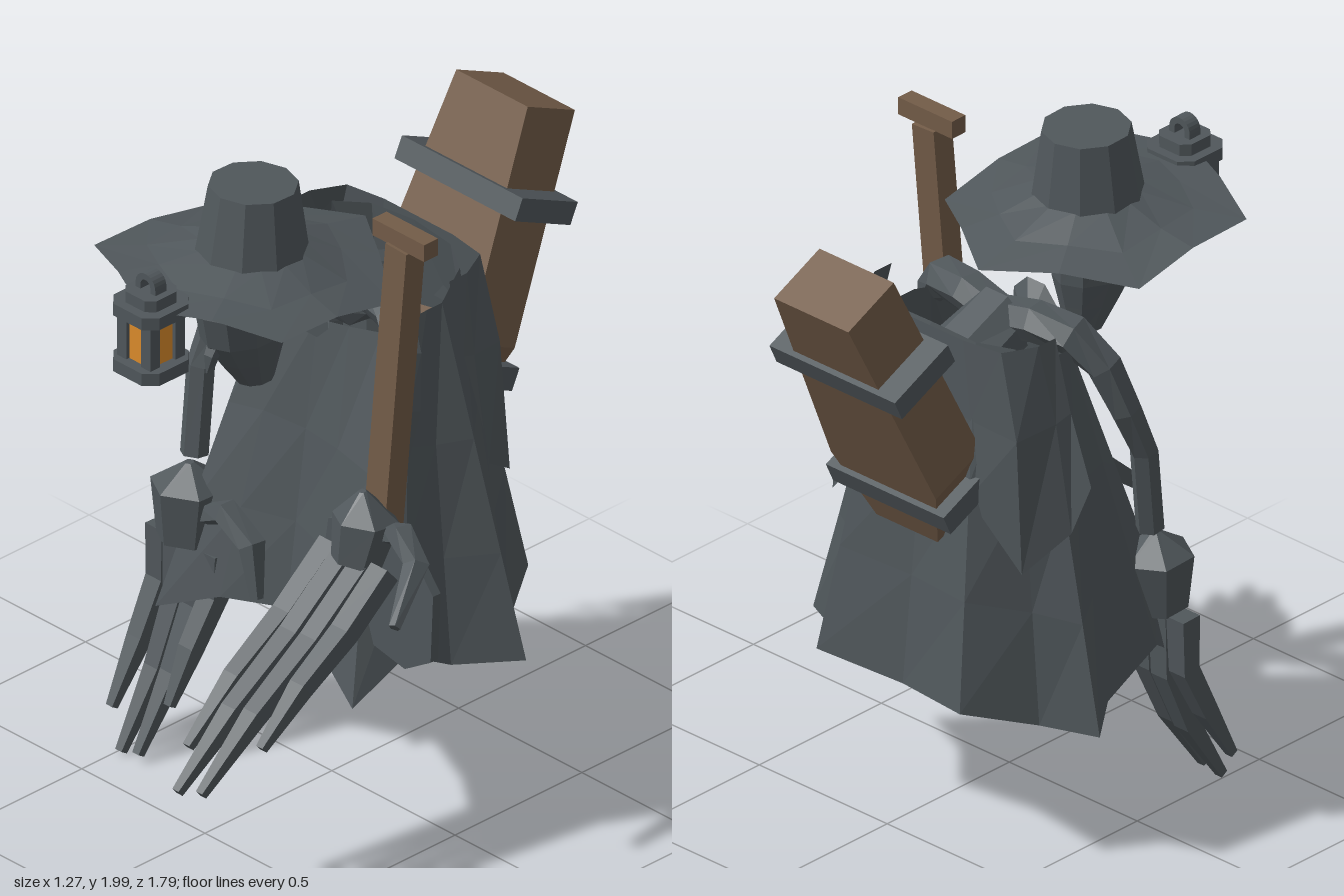
import * as THREE from 'three';

const V = (x, y, z) => new THREE.Vector3(x, y, z);
const CX = -0.08; // body centre line

// Faceted normals
function flat(geo) {
  const g = geo.index ? geo.toNonIndexed() : geo;
  g.computeVertexNormals();
  return g;
}

// Skin through rings of equal length; caps fan to each end ring's centre
function loft(rings, { closed = true, capped = false } = {}) {
  const p = [], n = rings[0].length, last = rings.length - 1;
  const tri = (...vs) => vs.forEach(v => p.push(v.x, v.y, v.z));
  for (let i = 0; i < last; i++) {
    for (let j = 0; j < (closed ? n : n - 1); j++) {
      const k = (j + 1) % n, a = rings[i][j], b = rings[i][k], c = rings[i + 1][k], d = rings[i + 1][j];
      tri(a, b, c); tri(a, c, d);
    }
  }
  if (capped) {
    for (const [r, end] of [[rings[0], false], [rings[last], true]]) {
      const m = r.reduce((s, v) => s.add(v), V(0, 0, 0)).divideScalar(n);
      for (let j = 0; j < n; j++) {
        const a = r[j], b = r[(j + 1) % n];
        end ? tri(m, a, b) : tri(m, b, a);
      }
    }
  }
  const g = new THREE.BufferGeometry();
  g.setAttribute('position', new THREE.Float32BufferAttribute(p, 3));
  return g;
}

// Tapered limb along [x, y, z, radius] points
function limb(pts, sides = 6) {
  const c = pts.map(q => V(q[0], q[1], q[2]));
  const rings = c.map((q, i) => {
    const t = c[Math.min(i + 1, c.length - 1)].clone().sub(c[Math.max(i - 1, 0)]).normalize();
    const u = V(0, 0, 1).cross(t);
    if (u.length() < 0.05) u.set(1, 0, 0);
    u.normalize();
    const v = t.clone().cross(u);
    return Array.from({ length: sides }, (_, j) => {
      const a = (j + 0.5) / sides * Math.PI * 2;
      return q.clone().addScaledVector(u, Math.cos(a) * pts[i][3]).addScaledVector(v, Math.sin(a) * pts[i][3]);
    });
  });
  return loft(rings, { capped: true });
}

// Mirror a half outline [x, z, y] (front to back) into a full ring
function mirrorRing(half) {
  const right = half.map(([x, z, y]) => V(CX + x, y, z));
  const left = half.slice(1, -1).reverse().map(([x, z, y]) => V(CX - x, y, z));
  return right.concat(left);
}

export function createModel() {
  const root = new THREE.Group();
  const mat = (name, color, extra = {}) => new THREE.MeshStandardMaterial({ name, color, ...extra });
  const grey = mat('charcoal', 0x50575b, { side: THREE.DoubleSide });
  const brown = mat('wood', 0x735c48);
  const amber = mat('amber glow', 0xdc8c2c);
  const add = (name, geo, m, parent = root, pos = [0, 0, 0]) => {
    const mesh = new THREE.Mesh(flat(geo), m);
    mesh.name = name;
    mesh.position.set(...pos);
    parent.add(mesh);
    return mesh;
  };
  const box = (w, h, d) => new THREE.BoxGeometry(w, h, d);
  const polygon = pts => new THREE.Shape(pts.map(p => new THREE.Vector2(...p)));
  const slab = (shape, depth) => new THREE.ExtrudeGeometry(shape, { depth, bevelEnabled: false, curveSegments: 6 });
  const group = (name, x = 0, y = 0, z = 0) => {
    const g = new THREE.Group();
    g.name = name;
    g.position.set(x, y, z);
    root.add(g);
    return g;
  };

  // Ragged open cloak
  const hem = [[0, .1, .55], [.2, .17, .53], [.4, .23, .44], [.44, .06, .56], [.43, -.13, .45],
    [.56, -.3, .45], [.4, -.38, .46], [.28, -.58, .53], [0, -.52, .5]];
  const collar = [[0, -.02, 1.45], [.12, -.03, 1.47], [.22, -.06, 1.48], [.27, -.12, 1.52], [.28, -.18, 1.53],
    [.28, -.24, 1.53], [.26, -.33, 1.6], [.16, -.39, 1.61], [0, -.4, 1.62]];
  const between = t => hem.map((h, i) => h.map((v, k) => v + (collar[i][k] - v) * t));
  add('cloak', loft([0, 0.3, 0.62, 1].map(t => mirrorRing(between(t)))), grey);

  // Short cape over the back
  const sheet = half => [...half.map(([x, y, z]) => V(CX + x, y, z)),
    ...half.slice(0, -1).reverse().map(([x, y, z]) => V(CX - x, y, z))];
  add('cape', loft([
    sheet([[.46, 1.19, -.23], [.43, 1.05, -.28], [.37, .95, -.42], [.2, 1.15, -.46], [0, 1.08, -.46]]),
    sheet([[.38, 1.4, -.23], [.37, 1.38, -.28], [.34, 1.36, -.41], [.18, 1.38, -.43], [0, 1.38, -.43]]),
    sheet([[.32, 1.62, -.23], [.32, 1.62, -.3], [.27, 1.62, -.4], [.14, 1.62, -.42], [0, 1.62, -.42]]),
  ], { closed: false }), grey);

  // Hunched torso and dangling legs
  add('torso', limb([[CX, .85, -.24, .09], [CX, 1.2, -.28, .12], [CX, 1.46, -.27, .125],
    [CX, 1.51, -.12, .11], [CX, 1.5, .02, .09]], 8), grey);
  for (const s of [-1, 1]) {
    const x = CX + s * 0.115;
    add('leg', limb([[x, 1, -.22, .05], [x, .75, -.29, .045], [x, .57, -.27, .04],
      [x, .49, -.18, .045], [x, .5, -.09, .035]]), grey);
  }

  // Head with drooping muzzle and a small tusk
  add('head', loft([[1.36, .225, .05, .06], [1.45, .25, .08, .105], [1.53, .268, .105, .142],
    [1.63, .277, .11, .153], [1.7, .27, .1, .13], [1.76, .26, .08, .1]].map(([y, z, rx, rz]) =>
    Array.from({ length: 10 }, (_, j) => {
      const a = j / 10 * Math.PI * 2;
      return V(CX + Math.sin(a) * rx, y, z + Math.cos(a) * rz);
    })), { capped: true }), grey);
  add('tusk', limb([[CX, 1.55, .37, .03], [CX, 1.5, .4, .022], [CX, 1.45, .415, .004]], 5), grey);

  // Wide hat: hexagonal drooping brim and tapered crown
  const HZ = 0.24;
  const corners = [[0, .43, 1.76], [.38, .25, 1.74], [.38, -.19, 1.69], [0, -.45, 1.71]];
  const edge = [];
  corners.forEach((c, i) => {
    edge.push(c);
    const d = corners[i + 1];
    if (d) edge.push(c.map((v, k) => (v + d[k]) / 2 + (k === 2 ? 0.02 : 0)));
  });
  const rim = mirrorRing(edge.map(([x, z, y]) => [x, z + HZ, y]));
  const brimRing = (t, y) => rim.map(p => {
    const a = Math.atan2(p.x - CX, p.z - HZ);
    return V(CX + Math.sin(a) * 0.15, y, HZ + Math.cos(a) * 0.15).lerp(p, t);
  });
  add('hat brim', loft([rim, brimRing(0.5, 1.78), brimRing(0, 1.8)]), grey);
  const crown = add('hat crown', new THREE.CylinderGeometry(.13, .165, .22, 10), grey, root, [CX, 1.888, .235]);
  crown.rotation.x = -0.03;

  // Arms
  const armTop = [[0, 1.53, -.12, .06], [.13, 1.555, -.11, .062], [.25, 1.545, -.085, .062], [.33, 1.46, -.04, .055],
    [.375, 1.32, .0, .048], [.39, 1.17, .06, .042]];
  const armPath = s => armTop.map(([x, y, z, r]) => [CX + s * x, y, z, r]);
  add('left arm', limb(armPath(1)), grey);
  add('right arm', limb([...armPath(-1), [-.455, .9, .1, .042]]), grey);

  // Right hand, hanging down
  const rightHand = group('right hand');
  add('palm', limb([[-.455, .88, .12, .015], [-.455, .81, .12, .115], [-.455, .64, .13, .09]]), grey, rightHand);
  [[-.555, -.555, .12], [-.485, -.485, .015], [-.415, -.42, .03], [-.34, -.345, .2]].forEach(([x0, x1, tip]) => {
    const f = t => .64 + (tip - .64) * t;
    add('finger', limb([[x0, .64, .13, .048], [x0, f(.33), .135, .044], [x1, f(.65), .22, .038],
      [x1, tip, .36 - (tip - .015) * .3, .018]], 4), grey, rightHand);
  });
  add('thumb', limb([[-.37, .75, .13, .038], [-.29, .79, .135, .042], [-.18, .73, .14, .042], [-.14, .58, .16, .02]], 5), grey, rightHand);

  // Left hand, reaching forward
  const leftHand = group('left hand');
  add('palm', limb([[.32, 1.14, .19, .012], [.325, 1.05, .18, .1], [.325, .92, .22, .075]]), grey, leftHand);
  [[.22, .22, .5, .78], [.285, .29, .425, .89], [.36, .365, .44, .87], [.43, .435, .55, .7]].forEach(([x0, x1, y, z]) => {
    const m = (t, lift) => [x0 + (x1 - x0) * t, .93 + (y - .93) * t + lift, .21 + (z - .21) * t];
    add('finger', limb([[...m(0, 0), .046], [...m(.33, -.01), .044], [...m(.68, .015), .038], [...m(1, 0), .018]], 4), grey, leftHand);
  });
  add('thumb', limb([[.4, 1.02, .16, .035], [.46, 1.045, .17, .042], [.55, .995, .2, .04], [.615, .88, .35, .018]], 5), grey, leftHand);

  // Shovel
  const shovel = group('shovel');
  add('shovel handle', box(.21, .055, .055), brown, shovel, [.36, 1.937, .06]);
  const bottom = V(.315, .97, .105), top = V(.36, 1.91, .06);
  const shaft = add('shovel shaft', box(.085, bottom.distanceTo(top), .075), brown, shovel);
  shaft.position.copy(bottom).lerp(top, 0.5);
  shaft.quaternion.setFromUnitVectors(V(0, 1, 0), top.clone().sub(bottom).normalize());
  const blade = polygon([[.13, .95], [.09, .7], [.22, .63], [.44, .585], [.545, .65], [.555, .87], [.44, 1.01], [.28, 1.02]]);
  add('shovel blade', slab(blade, .03), grey, shovel, [0, 0, .11]);

  // Lantern hanging at the brim, with chamfered square tiers
  const lantern = group('lantern', CX, 0, .635);
  const tier = (name, r, y0, y1, m = grey) => {
    const c = r * 0.62;
    const sq = polygon([[r, -c], [r, c], [c, r], [-c, r], [-r, c], [-r, -c], [-c, -r], [c, -r]]);
    add(name, slab(sq, y1 - y0).rotateX(-Math.PI / 2), m, lantern, [0, y0, 0]);
  };
  tier('lantern base', .093, 1.56, 1.6);
  tier('lantern glass', .056, 1.6, 1.745, amber);
  tier('lantern roof', .093, 1.743, 1.782);
  tier('lantern cap', .063, 1.782, 1.818);
  for (const sx of [-1, 1]) for (const sz of [-1, 1])
    add('lantern post', box(.038, .15, .038), grey, lantern, [sx * .049, 1.672, sz * .049]);
  const arch = new THREE.Shape();
  arch.moveTo(.04, 0).lineTo(.04, .018).absarc(0, .018, .04, 0, Math.PI).lineTo(-.04, 0);
  arch.lineTo(-.02, 0).lineTo(-.02, .018).absarc(0, .018, .02, Math.PI, 0, true).lineTo(.02, 0);
  add('lantern ring', slab(arch, .044), grey, lantern, [0, 1.816, -.022]);

  // Tapered wooden casket strapped to the back
  const casket = group('casket', CX, 1.88, -.802);
  casket.rotation.x = -0.436;
  const outline = polygon([[-.12, -.93], [.12, -.93], [.205, -.7], [.145, 0], [-.145, 0], [-.205, -.7]]);
  add('casket body', slab(outline, .205), brown, casket, [0, 0, -.1025]);
  for (const [y, w] of [[-.275, .49], [-.785, .46]]) add('casket strap', box(w, .07, .24), grey, casket, [0, y, 0]);

  return root;
}
